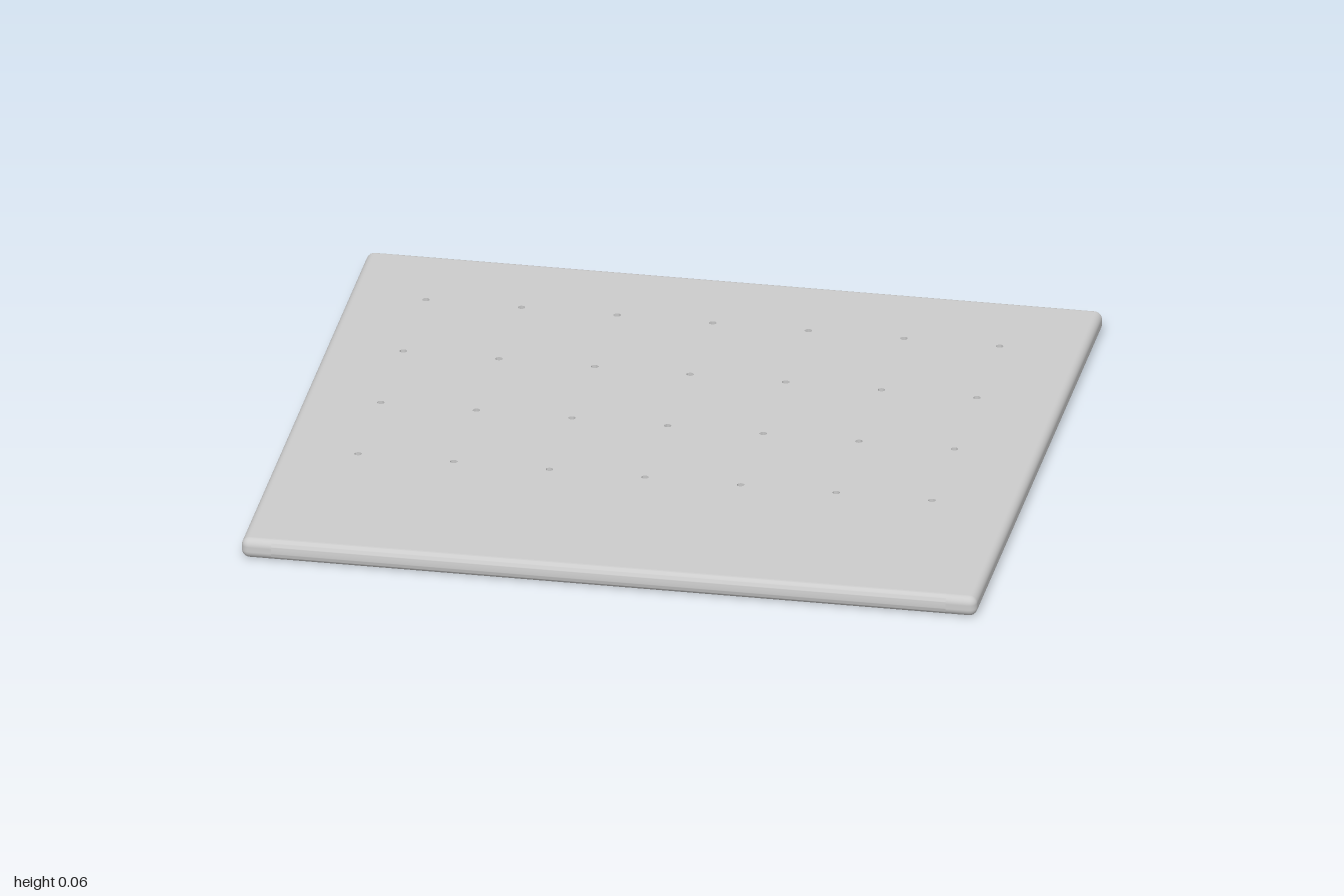
import * as THREE from 'three';
import { toCreasedNormals } from 'three/addons/utils/BufferGeometryUtils.js';
import { RoundedBoxGeometry } from 'three/addons/geometries/RoundedBoxGeometry.js';

const H = 0.057;      // thickness
const R = 0.022;      // edge rounding
const DEPTH = 0.917;  // half depth in z
const SEAM = 0.917;   // x where the end strips begin

export function createModel() {
  const group = new THREE.Group();
  const material = new THREE.MeshStandardMaterial({ color: 0xcccccc });
  const add = (name, geometry) => {
    const mesh = new THREE.Mesh(geometry, material);
    mesh.name = name;
    group.add(mesh);
    return mesh;
  };

  // Main panel, pierced by a 7 x 4 grid of small holes
  const z0 = DEPTH - R;
  const plan = new THREE.Shape();
  plan.moveTo(-SEAM, -z0).lineTo(SEAM, -z0).lineTo(SEAM, z0).lineTo(-SEAM, z0).closePath();
  for (let row = 0; row < 4; row++) {
    for (let col = 0; col < 7; col++) {
      const x = -0.79 + col * 0.26, z = -0.64 + row * 0.325;
      plan.holes.push(new THREE.Path().absarc(x, -z, 0.01, 0, Math.PI * 2, true));
    }
  }
  const panel = new THREE.ExtrudeGeometry(plan, { depth: H, bevelEnabled: false, curveSegments: 8 });
  panel.rotateX(-Math.PI / 2);
  add('panel', toCreasedNormals(panel, 0.9));

  // Rounded front and back edges of the panel
  const nose = new THREE.Shape();
  nose.moveTo(0, 0);
  nose.absarc(0, R, R, -Math.PI / 2, 0, false);
  nose.absarc(0, H - R, R, 0, Math.PI / 2, false);
  nose.closePath();
  for (const side of [1, -1]) {
    const edge = new THREE.ExtrudeGeometry(nose, { depth: 2 * SEAM, bevelEnabled: false, curveSegments: 8 });
    edge.translate(0, 0, -SEAM);
    edge.rotateY(-side * Math.PI / 2);
    edge.translate(0, 0, side * z0);
    add(side > 0 ? 'frontEdge' : 'backEdge', toCreasedNormals(edge, 0.6));
  }

  // End strips: rounded bars cut flat where they meet the panel
  for (const side of [1, -1]) {
    const strip = new RoundedBoxGeometry(1 - SEAM + R, H, 2 * DEPTH, 5, R);
    strip.translate((1 + SEAM - R) / 2, H / 2, 0);
    const p = strip.attributes.position;
    for (let i = 0; i < p.count; i++) p.setX(i, Math.max(p.getX(i), SEAM));
    if (side < 0) strip.rotateY(Math.PI);
    add(side > 0 ? 'leftEndStrip' : 'rightEndStrip', strip);
  }
  return group;
}
